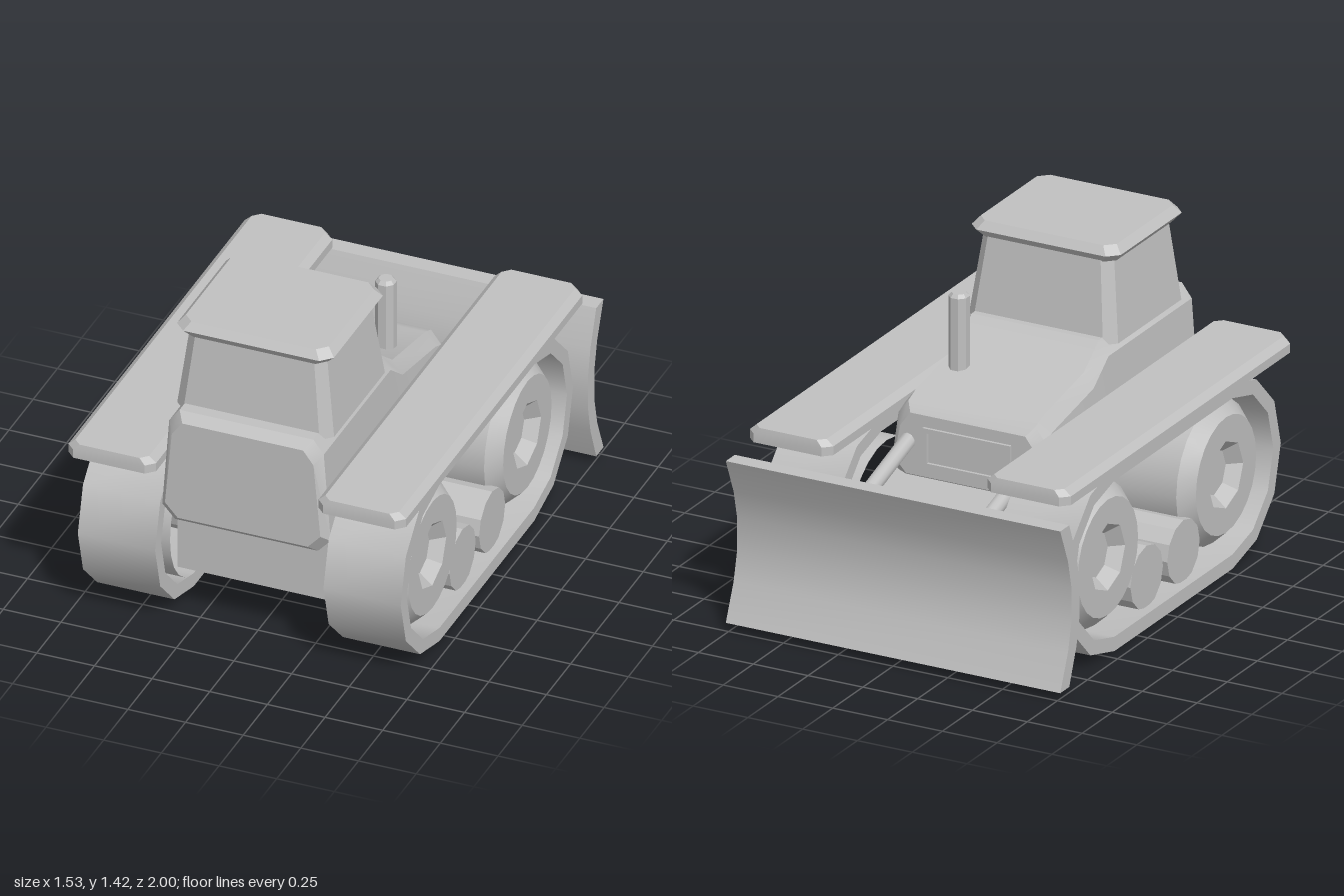
import * as THREE from 'three';
import { toCreasedNormals } from 'three/addons/utils/BufferGeometryUtils.js';

const grey = new THREE.MeshStandardMaterial({ color: 0xc0c0c0 });
grey.name = 'plain grey';

// Skin over counter-clockwise rings [z, [[x, y], ...]] ordered along +z, capped at both ends
function loft(rings) {
  const pos = [];
  const n = rings[0][1].length;
  const put = (r, i) => pos.push(...rings[r][1][i % n], rings[r][0]);
  for (let r = 0; r < rings.length - 1; r++) {
    for (let i = 0; i < n; i++) {
      put(r, i); put(r, i + 1); put(r + 1, i + 1);
      put(r, i); put(r + 1, i + 1); put(r + 1, i);
    }
  }
  const last = rings.length - 1;
  for (let i = 1; i < n - 1; i++) {
    put(last, 0); put(last, i); put(last, i + 1);
    put(0, 0); put(0, i + 1); put(0, i);
  }
  const g = new THREE.BufferGeometry();
  g.setAttribute('position', new THREE.Float32BufferAttribute(pos, 3));
  return toCreasedNormals(g, 0.5);
}

// Rectangle with cut corners: half width w, half depth d, centre (cx, cy)
function cutRect(cx, cy, w, d, c) {
  return [[w - c, -d], [w, c - d], [w, d - c], [w - c, d], [c - w, d], [-w, d - c], [-w, c - d], [c - w, -d]]
    .map(([x, y]) => [cx + x, cy + y]);
}

// Loft stacked upwards; ring y coordinates become -z
const stack = (rings) => loft(rings).rotateX(-Math.PI / 2);

// Side profile (points [-z, y]) extruded across x from x0 to x1
function sideExtrude(points, x0, x1, hole) {
  const shape = new THREE.Shape(points.map((p) => new THREE.Vector2(...p)));
  if (hole) shape.holes.push(new THREE.Path(hole.map((p) => new THREE.Vector2(...p))));
  const g = new THREE.ExtrudeGeometry(shape, { depth: x1 - x0, bevelEnabled: false });
  return toCreasedNormals(g.rotateY(Math.PI / 2).translate(x0, 0, 0), 0.6);
}

// Loop around both wheels, half a 12-gon at each end
function trackLoop(r) {
  const pts = [];
  for (let end = 0; end < 2; end++) {
    for (let k = 0; k <= 6; k++) {
      const a = -Math.PI / 2 + Math.PI * end + (k * Math.PI) / 6;
      pts.push([(end ? -0.545 : 0.435) + r * Math.cos(a), 0.4 + r * Math.sin(a)]);
    }
  }
  return pts;
}

// Hull section with cut corners
function hullSection(top, inset = 0) {
  const t = top - inset, b = 0.52 + inset, i = inset * 0.8;
  return [[0.31 - i, b], [0.365 - i, b + 0.06], [0.335 - i, t - 0.06], [0.29 - i, t],
    [i - 0.29, t], [i - 0.335, t - 0.06], [i - 0.365, b + 0.06], [i - 0.31, b]];
}

export function createModel() {
  const model = new THREE.Group();
  const add = (name, geo) => {
    const m = new THREE.Mesh(geo, grey);
    m.name = name;
    model.add(m);
    return m;
  };
  // Round bar between two points
  const rod = (name, a, b, r) => {
    const dir = b.clone().sub(a);
    const m = add(name, toCreasedNormals(new THREE.CylinderGeometry(r, r, dir.length(), 10), 0.7));
    m.position.copy(a).addScaledVector(dir, 0.5);
    m.quaternion.setFromUnitVectors(new THREE.Vector3(0, 1, 0), dir.normalize());
  };

  // Chassis and hull with sloping hood
  add('chassis', new THREE.BoxGeometry(0.7, 0.335, 1.37).translate(0, 0.3825, 0.065));
  add('hull', loft([
    [-0.38, hullSection(0.855, 0.035)], [-0.345, hullSection(0.855)], [-0.285, hullSection(0.88)],
    [0.055, hullSection(0.945)], [0.18, hullSection(1.04)], [0.87, hullSection(1.04)],
    [0.91, hullSection(1.04, 0.035)],
  ]));

  // Grille frame on the nose
  const frame = new THREE.Shape([[-0.2, 0.6], [0.2, 0.6], [0.2, 0.77], [-0.2, 0.77]].map((p) => new THREE.Vector2(...p)));
  frame.holes.push(new THREE.Path([[-0.18, 0.62], [0.18, 0.62], [0.18, 0.75], [-0.18, 0.75]].map((p) => new THREE.Vector2(...p))));
  add('grilleFrame', new THREE.ExtrudeGeometry(frame, { depth: 0.02, bevelEnabled: false }).translate(0, 0, -0.393));

  // Cab and roof
  add('cab', stack([
    [1.01, cutRect(0, -0.5125, 0.34, 0.3075, 0.045)],
    [1.36, cutRect(0, -0.52, 0.297, 0.265, 0.04)],
  ]));
  add('roof', stack([
    [1.345, cutRect(0, -0.525, 0.305, 0.265, 0.04)],
    [1.385, cutRect(0, -0.525, 0.34, 0.298, 0.045)],
    [1.42, cutRect(0, -0.525, 0.31, 0.272, 0.04)],
  ]));

  // Exhaust pipe
  add('exhaust', stack([[0.85, 0.04], [1.225, 0.04], [1.24, 0.028]].map(([y, r]) =>
    [y, cutRect(0.21, 0.07, r, r, r * 0.586)])));

  // Running gear, one set per side
  for (const s of [1, -1]) {
    const side = s > 0 ? 'left' : 'right';
    const span = s > 0 ? [0.365, 0.7] : [-0.7, -0.365];
    add(side + 'Track', sideExtrude(trackLoop(0.4), ...span, trackLoop(0.338)));
    add(side + 'Fender', stack([
      [0.79, cutRect(s * 0.542, -0.055, 0.19, 0.945, 0.035)],
      [0.828, cutRect(s * 0.542, -0.055, 0.19, 0.945, 0.035)],
      [0.855, cutRect(s * 0.542, -0.055, 0.16, 0.94, 0.03)],
    ]));
    const lathe = (pts, n) => toCreasedNormals(
      new THREE.LatheGeometry(pts.map((p) => new THREE.Vector2(...p)), n), 0.5).rotateZ((-s * Math.PI) / 2);
    for (const z of [0.545, -0.435]) {
      add(side + 'Wheel', lathe([[0.305, 0.34], [0.305, 0.61], [0.25, 0.67], [0.15, 0.67]], 24)).position.set(0, 0.4, z);
      add(side + 'Hub', lathe([[0.165, 0.669], [0.145, 0.669], [0.098, 0.615], [0, 0.615]], 8)).position.set(0, 0.4, z);
    }
    for (const z of [0.21, -0.095]) {
      add(side + 'Roller', lathe([[0.135, 0.34], [0.135, 0.66], [0, 0.66]], 12)).position.set(0, 0.19, z);
    }
    // Blade lift ram and push arm
    const v = (y, z) => new THREE.Vector3(s * 0.275, y, z);
    rod(side + 'LiftRam', v(0.72, -0.3), v(0.54, -0.87), 0.034);
    rod(side + 'PushArm', v(0.36, -0.55), v(0.28, -0.87), 0.036);
  }

  // Curved dozer blade
  add('blade', sideExtrude([
    [1, 0.735], [0.925, 0.735], [0.865, 0.58], [0.84, 0.46], [0.84, 0.31], [0.865, 0.19], [0.925, 0.035],
    [1, 0.035], [0.935, 0.19], [0.907, 0.31], [0.907, 0.46], [0.935, 0.58],
  ], -0.763, 0.763));

  return model;
}
